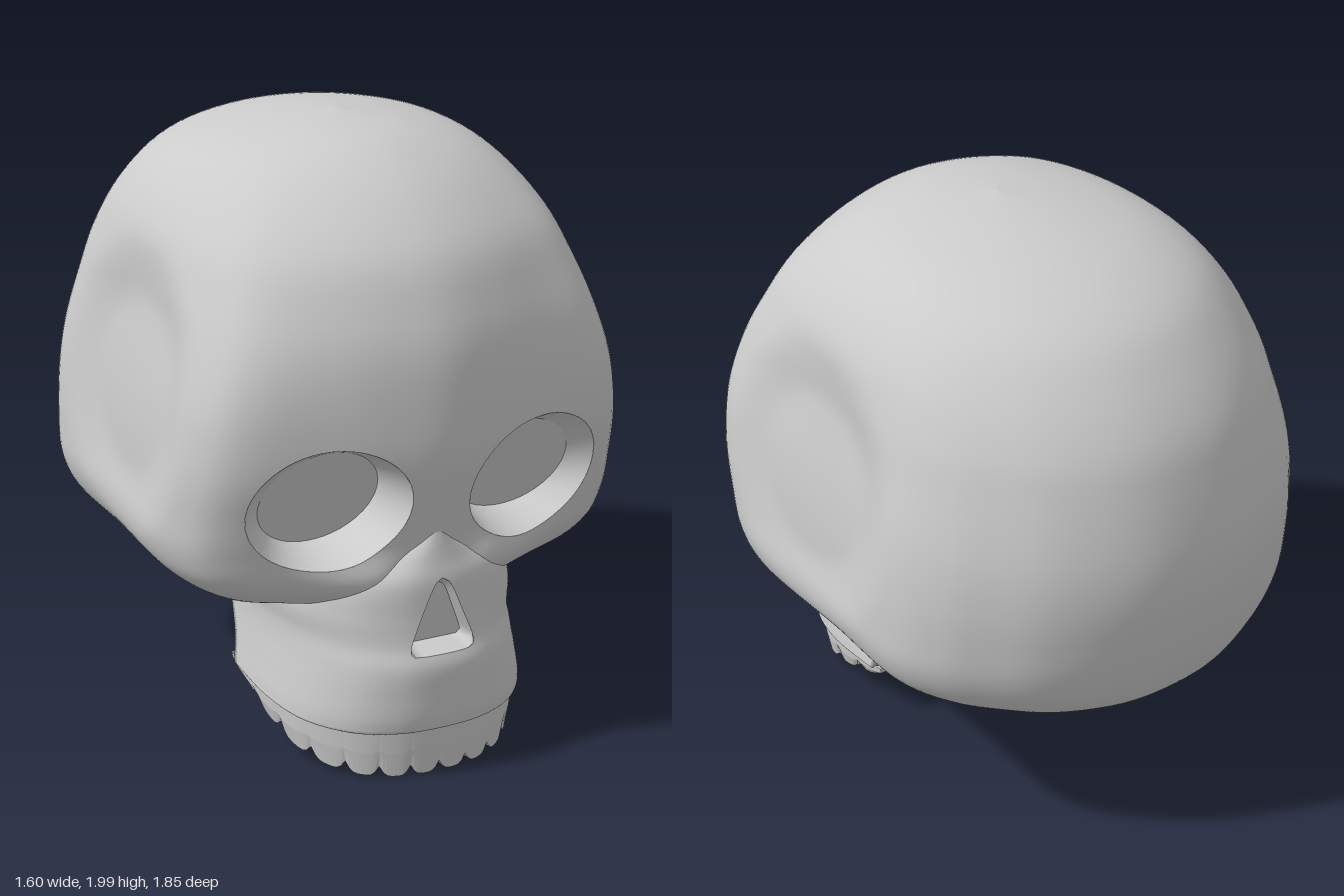
import * as THREE from 'three';

const V = (x, y, z) => new THREE.Vector3(x, y, z);
const { smoothstep, lerp } = THREE.MathUtils;
const grey = (opts = {}) => new THREE.MeshStandardMaterial({ color: 0xcccccc, side: THREE.DoubleSide, ...opts });

// Skin a list of rows of points; closed joins the last column to the first
function loft(rows, closed) {
  const n = rows[0].length, index = [];
  for (let r = 0; r < rows.length - 1; r++) {
    for (let c = 0; c < (closed ? n : n - 1); c++) {
      const d = (c + 1) % n, a = r * n, b = a + n;
      index.push(a + c, b + c, a + d, a + d, b + c, b + d);
    }
  }
  const geo = new THREE.BufferGeometry().setFromPoints(rows.flat());
  geo.setIndex(index);
  geo.computeVertexNormals();
  return geo;
}

// Smoothly interpolate table rows of numbers
function refine(table, count) {
  const columns = table[0].map((_, k) => new THREE.CatmullRomCurve3(table.map((row) => V(row[k], 0, 0)), false, 'catmullrom', 0.5));
  return Array.from({ length: count + 1 }, (_, i) => columns.map((c) => c.getPoint(i / count).x));
}

function addMesh(group, name, geo, opts) {
  const mesh = new THREE.Mesh(geo, grey(opts));
  mesh.name = name;
  group.add(mesh);
  return mesh;
}

// Distance from a hole's centre, 1 on its rim; the rim is a rounded polygon of [nx, ny, distance] sides
function holeRadius(hole, dx, dy) {
  const sum = hole.sides.reduce((s, [nx, ny, d]) => s + Math.max(0, (nx * dx + ny * dy) / d) ** hole.p, 0);
  return sum ** (1 / hole.p);
}

// Open a hole in the front of a mesh and line it with a wall and a floor
function cutSocket(group, mesh, hole, name) {
  const ray = new THREE.Raycaster();
  const frontZ = (x, y, fallback) => {
    ray.set(V(x, y, 3), V(0, 0, -1));
    const hit = ray.intersectObject(mesh)[0];
    return hit ? hit.point.z : fallback;
  };
  const rim = [], inner = [], N = 40;
  for (let i = 0; i < N; i++) {
    const a = (i / N) * Math.PI * 2, c = Math.cos(a), s = Math.sin(a), R = 1 / holeRadius(hole, c, s);
    const x = hole.x + c * R, y = hole.y + s * R;
    rim.push(V(x, y, frontZ(x, y, hole.floor)));
    const k = R * hole.inset, iy = hole.y + s * k;
    inner.push(V(hole.x * hole.shift + c * k, iy, hole.floor + hole.tilt * (iy - hole.y)));
  }
  const centre = inner.map(() => V(hole.x * hole.shift, hole.y, hole.floor));
  addMesh(group, name + 'Wall', loft([rim, inner], true));
  addMesh(group, name + 'Floor', loft([inner, centre], true), { flatShading: true });

  // Snap nearby vertices to the rim, then drop the faces inside it
  const geo = mesh.geometry, pos = geo.attributes.position, moved = [], dropped = new Set();
  for (let i = 0; i < pos.count; i++) {
    if (pos.getZ(i) < hole.minZ) continue;
    const dx = pos.getX(i) - hole.x, dy = pos.getY(i) - hole.y, r = holeRadius(hole, dx, dy);
    if (r < hole.band) dropped.add(i);
    else if (r < 1) {
      const x = hole.x + dx / r, y = hole.y + dy / r;
      moved.push([i, x, y, frontZ(x, y, pos.getZ(i))]);
    }
  }
  moved.forEach(([i, x, y, z]) => pos.setXYZ(i, x, y, z));
  const old = geo.index.array, kept = [];
  for (let i = 0; i < old.length; i += 3) {
    const tri = [old[i], old[i + 1], old[i + 2]];
    if (!tri.some((v) => dropped.has(v))) kept.push(...tri);
  }
  geo.setIndex(kept);
}

function craniumGeometry() {
  // Plan outline from the forehead round to the back, mirrored
  const half = [[0, 1], [0.25, 0.97], [0.5, 0.92], [0.8, 0.845], [0.9, 0.785], [0.96, 0.69], [1, 0.53], [1, 0.05],
    [1, -0.4], [0.91, -0.58], [0.78, -0.71], [0.63, -0.83], [0.42, -0.93], [0.22, -0.985], [0, -1]];
  const mirrored = half.slice(1, -1).reverse().map(([x, z]) => [-x, z]);
  const plan = new THREE.CatmullRomCurve3([...half, ...mirrored].map(([x, z]) => V(x, 0, z)), true).getSpacedPoints(200).slice(0, 200);
  // Height, half width, front z, back z; ends in the recess under the skull
  const profile = [
    [2, 0, 0.12, 0.12], [1.975, 0.2, 0.38, -0.15], [1.92, 0.4, 0.53, -0.4], [1.83, 0.54, 0.67, -0.6],
    [1.7, 0.64, 0.8, -0.73], [1.55, 0.69, 0.87, -0.83], [1.4, 0.72, 0.91, -0.88], [1.2, 0.76, 0.92, -0.92],
    [1.05, 0.78, 0.91, -0.925], [0.9, 0.788, 0.87, -0.905], [0.78, 0.785, 0.837, -0.88], [0.68, 0.745, 0.812, -0.85],
    [0.6, 0.66, 0.755, -0.81], [0.545, 0.55, 0.64, -0.74], [0.505, 0.42, 0.32, -0.64], [0.475, 0.28, 0.07, -0.54],
    [0.475, 0.18, -0.1, -0.46], [0.56, 0.13, -0.14, -0.41], [0.58, 0, -0.27, -0.27]];
  const rows = refine(profile, 108).map(([y, w, zf, zb]) => plan.map((p) => {
    // The outline rounds off to an ellipse towards the crown
    const a = Math.atan2(p.x, p.z), round = 0.85 * smoothstep(y, 1.2, 1.95);
    let x = lerp(p.x, Math.sin(a), round) * w;
    let z = (zf + zb) / 2 + (lerp(p.z, Math.cos(a), round) * (zf - zb)) / 2;
    // Hollow of the temple
    const r = Math.hypot(z - 0.14, y - 1.18);
    x -= Math.sign(p.x) * 0.045 * (1 - smoothstep(r, 0.25, 0.5)) * smoothstep(Math.abs(p.x), 0.85, 1);
    // Cheeks swell softly into the jaw beside the nose
    const ax = Math.abs(x);
    if (p.z > 0.5) z += 0.05 * smoothstep(ax, 0.05, 0.2) * (1 - smoothstep(ax, 0.2, 0.52)) * (1 - smoothstep(y, 0.64, 0.8));
    return V(x, y, z);
  }));
  return loft(rows, true);
}

// Horseshoe plan shared by the jaw and the teeth: x is -1..1, z is 1 at the front and 0 at the back
const arch = (() => {
  const half = [[0, 1], [0.35, 0.97], [0.65, 0.86], [0.88, 0.65], [0.98, 0.38], [1, 0]];
  const left = half.slice(1).reverse().map(([x, z]) => [-x, z]);
  return new THREE.CatmullRomCurve3([...left, ...half].map(([x, z]) => V(x, 0, z))).getSpacedPoints(14 * 8);
})();

// Rows of height, half width, front z, back z, lift at the back, scallop
function archGeometry(table) {
  const rows = table.map(([y, w, zf, zb, lift, scallop = 0]) => {
    const row = arch.map((p, i) => {
      const notch = scallop * (1 - Math.abs(Math.sin((Math.PI * i) / 8))) ** 2;
      return V(p.x * w, y + lift * Math.max(0, 1 - p.z) ** 1.5 + notch, zb + (zf - zb) * p.z);
    });
    // Pinch the ends together to close the back of the wall
    const cap = (p) => V(Math.sign(p.x) * Math.min(w, 0.38), p.y, p.z);
    return [cap(row[0]), ...row, cap(row[row.length - 1])];
  });
  return loft(rows, false);
}

export function createModel() {
  const skull = new THREE.Group();
  skull.name = 'skull';
  const cranium = addMesh(skull, 'cranium', craniumGeometry());

  // Upper jaw: outer wall, gum edge, inner wall, palate
  const jaw = addMesh(skull, 'upperJaw', archGeometry(refine([
    [0.88, 0.06, 0.83, 0.3, 0], [0.8, 0.12, 0.852, 0.3, 0], [0.73, 0.25, 0.868, 0.25, 0], [0.66, 0.38, 0.885, 0.2, 0],
    [0.55, 0.42, 0.89, 0.16, 0], [0.46, 0.41, 0.902, 0.17, 0], [0.39, 0.412, 0.926, 0.19, 0], [0.3, 0.425, 0.925, 0.24, 0],
    [0.2, 0.44, 0.918, 0.27, 0.02], [0.165, 0.432, 0.895, 0.27, 0.05], [0.165, 0.345, 0.79, 0.27, 0.05], [0.34, 0.325, 0.76, 0.24, 0.05],
    [0.43, 0.26, 0.68, 0.2, 0.09], [0.45, 0, 0.5, 0.2, 0.09]], 91)));

  addMesh(skull, 'teeth', archGeometry([
    [0.19, 0.435, 0.895, 0.23, 0.04], [0.09, 0.43, 0.888, 0.23, 0.11, 0.01], [0.005, 0.415, 0.88, 0.24, 0.18, 0.035],
    [0.005, 0.365, 0.815, 0.24, 0.18, 0.035], [0.19, 0.36, 0.8, 0.25, 0.04]]), { flatShading: true });

  // Eye sockets, mirrored
  for (const [name, side] of [['leftEyeSocket', 1], ['rightEyeSocket', -1]]) {
    cutSocket(skull, cranium, {
      x: 0.355 * side, y: 0.935, p: 2, sides: [[1, 0, 0.255], [-1, 0, 0.255], [0, 1, 0.213], [0, -1, 0.213]],
      inset: 0.8, shift: 0.95, floor: 0.69, tilt: 0.4, minZ: 0.3, band: 0.75 }, name);
  }
  // Nose opening: a rounded triangle
  cutSocket(skull, jaw, {
    x: 0, y: 0.53, p: 8, sides: [[0, -1, 0.1], [0, 1, 0.15], [0.924, 0.38, 0.076], [-0.924, 0.38, 0.076]],
    inset: 0.84, shift: 1, floor: 0.835, tilt: 0.15, minZ: 0.8, band: 0.45 }, 'noseOpening');
  return skull;
}
